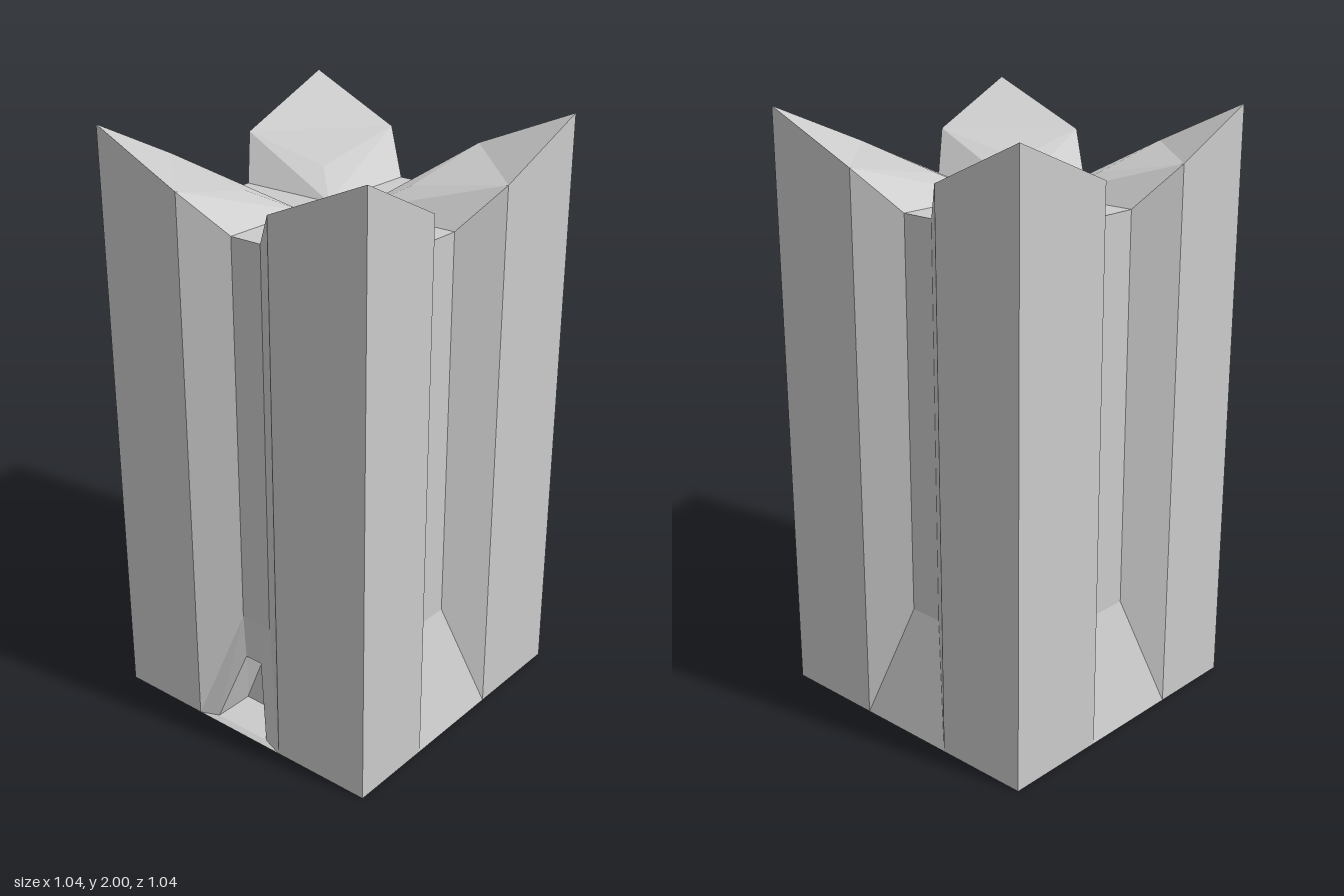
import * as THREE from 'three';

// Plan lines along one axis, for the negative and the positive side:
// o = outer wall, a = groove mouth, i = groove floor edge, d = groove depth
const planX = { '-1': { o: -0.52, a: -0.195, i: -0.072, d: -0.42 }, '1': { o: 0.52, a: 0.165, i: 0.045, d: 0.415 } };
const planZ = { '-1': { o: -0.52, a: -0.155, i: -0.035, d: -0.415 }, '1': { o: 0.52, a: 0.215, i: 0.092, d: 0.42 } };

const PEAK = 2, SHOULDER = 1.85, CREST = 1.785, DECK = 1.715, RAMP = 0.39;

// Builds a flat-shaded mesh from polygons whose corners run counter-clockwise
function facetMesh(name, faces, flip = false) {
  const pos = [];
  for (const face of faces) {
    const f = flip ? [face[0], ...face.slice(1).reverse()] : face;
    for (let k = 1; k < f.length - 1; k++) pos.push(...f[0], ...f[k], ...f[k + 1]);
  }
  const geo = new THREE.BufferGeometry();
  geo.setAttribute('position', new THREE.Float32BufferAttribute(pos, 3));
  geo.computeVertexNormals();
  const mesh = new THREE.Mesh(geo, new THREE.MeshStandardMaterial({ color: 0xcccccc, flatShading: true }));
  mesh.name = name;
  return mesh;
}

// One corner tower: outer walls, peaked roof, sloping inner roof and groove flanks
function cornerTower(sx, sz) {
  const X = planX[sx], Z = planZ[sz];
  const peak = [X.o, PEAK, Z.o], p = [X.a, SHOULDER, Z.o], q = [X.o, SHOULDER, Z.a];
  const crest = [X.a, CREST, Z.a], inner = [X.i, DECK, Z.i];
  const faces = [
    [[X.a, 0, Z.o], [X.o, 0, Z.o], peak, p],
    [[X.o, 0, Z.o], [X.o, 0, Z.a], q, peak],
    [q, crest, p, peak],
    [p, crest, inner, [X.i, DECK, Z.d]],
    [q, [X.d, DECK, Z.i], inner, crest],
    [[X.a, 0, Z.o], p, [X.i, DECK, Z.d], [X.i, RAMP, Z.d]],
    [[X.o, 0, Z.a], [X.d, RAMP, Z.i], [X.d, DECK, Z.i], q],
  ];
  return facetMesh('cornerTower', faces, sx * sz < 0);
}

// Groove between two towers: back wall, plus a sloping foot unless a doorway replaces it
function groove(across, depth, side, swap, withFoot) {
  const l = across[-1], r = across[1], D = depth[side];
  const at = (u, y, w) => (swap ? [w, y, u] : [u, y, w]);
  const faces = [[at(l.i, RAMP, D.d), at(r.i, RAMP, D.d), at(r.i, DECK, D.d), at(l.i, DECK, D.d)]];
  if (withFoot) faces.push([at(l.a, 0, D.o), at(r.a, 0, D.o), at(r.i, RAMP, D.d), at(l.i, RAMP, D.d)]);
  return facetMesh('groove', faces, (side < 0) !== swap);
}

// Doorway: three rings (foot outline, opening, recess back) joined by bands
function doorway() {
  const l = planX[-1], r = planX[1], D = planZ[1];
  const rings = [
    [[l.a, 0, D.o], [r.a, 0, D.o], [r.i, RAMP, D.d], [l.i, RAMP, D.d]],
    [[-0.122, 0.01, 0.502], [0.094, 0.01, 0.502], [0.018, 0.25, 0.437], [-0.047, 0.25, 0.437]],
    [[-0.11, 0.02, 0.37], [0.084, 0.02, 0.37], [0.01, 0.225, 0.345], [-0.04, 0.225, 0.345]],
  ];
  const faces = [rings[2]];
  for (let n = 0; n < 2; n++) {
    for (let k = 0; k < 4; k++) {
      const m = (k + 1) % 4;
      faces.push([rings[n][k], rings[n][m], rings[n + 1][m], rings[n + 1][k]]);
    }
  }
  return facetMesh('doorway', faces);
}

// Horizontal rectangle facing up
const slab = (x0, x1, z0, z1, y) => [[x0, y, z1], [x1, y, z1], [x1, y, z0], [x0, y, z0]];

export function createModel() {
  const model = new THREE.Group();
  model.name = 'tower';

  for (const sx of [-1, 1]) for (const sz of [-1, 1]) model.add(cornerTower(sx, sz));

  for (const side of [-1, 1]) {
    model.add(groove(planX, planZ, side, false, side < 0));
    model.add(groove(planZ, planX, side, true, true));
  }
  model.add(doorway());

  // Flat cross-shaped deck between the towers
  const xl = planX[-1], xr = planX[1], zb = planZ[-1], zf = planZ[1];
  model.add(facetMesh('crossDeck', [
    slab(xl.i, xr.i, zb.d, zf.d, DECK),
    slab(xl.d, xl.i, zb.i, zf.i, DECK),
    slab(xr.i, xr.d, zb.i, zf.i, DECK),
  ]));

  // Underside
  model.add(facetMesh('base', [slab(xl.o, xr.o, zb.o, zf.o, 0)], true));
  return model;
}
